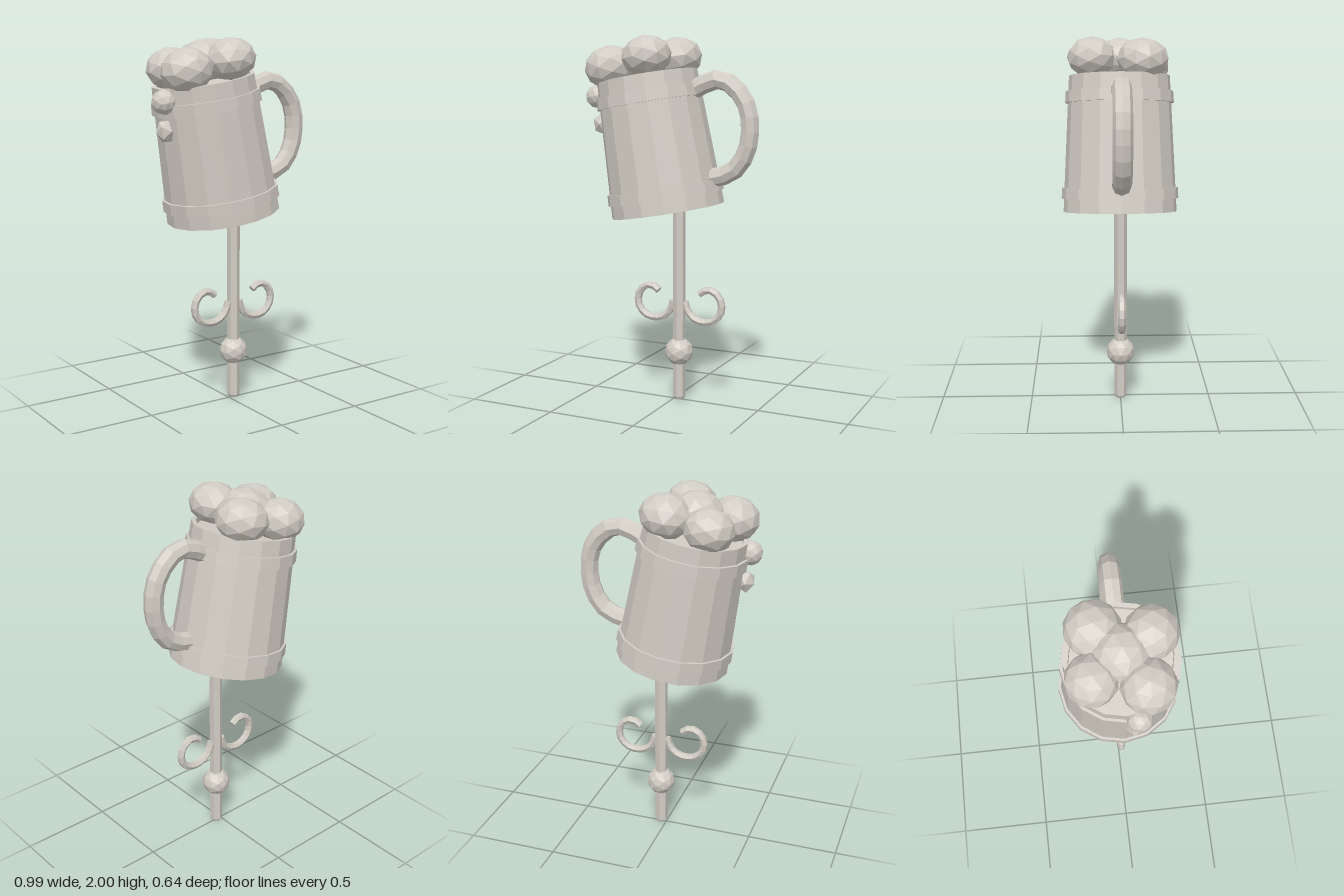
import * as THREE from 'three';

const TILT = 0.172;

export function createModel() {
  const root = new THREE.Group();
  root.name = 'tankardOnStaff';
  const clay = new THREE.MeshStandardMaterial({ color: 0xd1ccc3 });
  clay.name = 'warmGrey';
  clay.flatShading = true;

  const add = (name, geometry, parent = root) => {
    const mesh = new THREE.Mesh(geometry, clay);
    mesh.name = name;
    parent.add(mesh);
    return mesh;
  };
  const lathe = (pts, sides) =>
    new THREE.LatheGeometry(pts.map(([r, y]) => new THREE.Vector2(r, y)), sides);

  // Tube through points in the x-y plane, with closed ends
  const addTube = (name, pts, radius, sides, steps) => {
    const path = new THREE.CatmullRomCurve3(pts.map(([x, y]) => new THREE.Vector3(x, y, 0)));
    const group = new THREE.Group();
    group.name = name;
    root.add(group);
    add(name + 'Bar', new THREE.TubeGeometry(path, steps, radius, sides, false), group);
    for (const t of [0, 1]) {
      const cap = add(name + 'End', new THREE.CircleGeometry(radius, sides), group);
      cap.position.copy(path.getPoint(t));
      const dir = path.getTangent(t).multiplyScalar(t ? 1 : -1);
      cap.quaternion.setFromUnitVectors(new THREE.Vector3(0, 0, 1), dir);
    }
  };

  // Hexagonal staff with a small bevelled foot
  const staff = add('staff', lathe([[0, 0], [0.027, 0.004], [0.035, 0.018], [0.035, 1.1]], 6));
  staff.position.x = 0.03;

  // Faceted knob
  add('staffKnob', new THREE.IcosahedronGeometry(0.079, 1)).position.set(0.03, 0.275, 0);

  // Mirrored scrolls on both sides of the staff
  const scroll = [[0.035, 0.108], [0.055, 0.05], [0.095, 0.013], [0.15, 0], [0.205, 0.014], [0.243, 0.052],
    [0.254, 0.103], [0.236, 0.152], [0.195, 0.182], [0.152, 0.178], [0.124, 0.157]];
  for (const [name, s] of [['leftScroll', 1], ['rightScroll', -1]]) {
    addTube(name, scroll.map(([x, y]) => [0.03 + s * x, 0.453 + y]), 0.021, 6, 14);
  }

  // Tilted mug with two raised bands and a recessed top
  const mug = add('mug', lathe([
    [0, 0], [0.31, 0], [0.307, 0.072], [0.32, 0.072], [0.317, 0.132], [0.304, 0.132],
    [0.282, 0.592], [0.297, 0.592], [0.293, 0.655], [0.279, 0.655], [0.275, 0.738],
    [0.252, 0.738], [0.25, 0.71], [0, 0.71],
  ], 16));
  mug.position.set(-0.037, 1.06, 0);
  mug.rotation.z = TILT;

  // Handle
  addTube('handle', [[0.11, 1.715], [0.2, 1.757], [0.275, 1.771], [0.36, 1.72], [0.42, 1.63], [0.437, 1.5],
    [0.415, 1.39], [0.36, 1.305], [0.3, 1.27], [0.22, 1.25]], 0.051, 8, 12);

  // Foam on top and two drips on the side: x, y, z, radius, height scale
  const foam = [
    [-0.33, 1.835, 0.11, 0.138, 0.86], [-0.09, 1.893, 0.15, 0.134, 0.83],
    [-0.04, 1.885, -0.12, 0.141, 0.82], [-0.275, 1.84, -0.15, 0.132, 0.86],
    [-0.17, 1.88, 0, 0.142, 0.8],
    [-0.435, 1.678, 0.06, 0.066, 1], [-0.42, 1.527, 0.045, 0.05, 1.25],
  ];
  foam.forEach(([x, y, z, r, h], i) => {
    const drip = i === foam.length - 1;
    const blob = add(i < 5 ? 'foam' : 'foamDrip', new THREE.IcosahedronGeometry(r, drip ? 0 : 1));
    blob.geometry.rotateY(i * 0.9);
    blob.position.set(x, y, z);
    blob.scale.y = h;
    blob.rotation.z = TILT;
  });

  return root;
}
